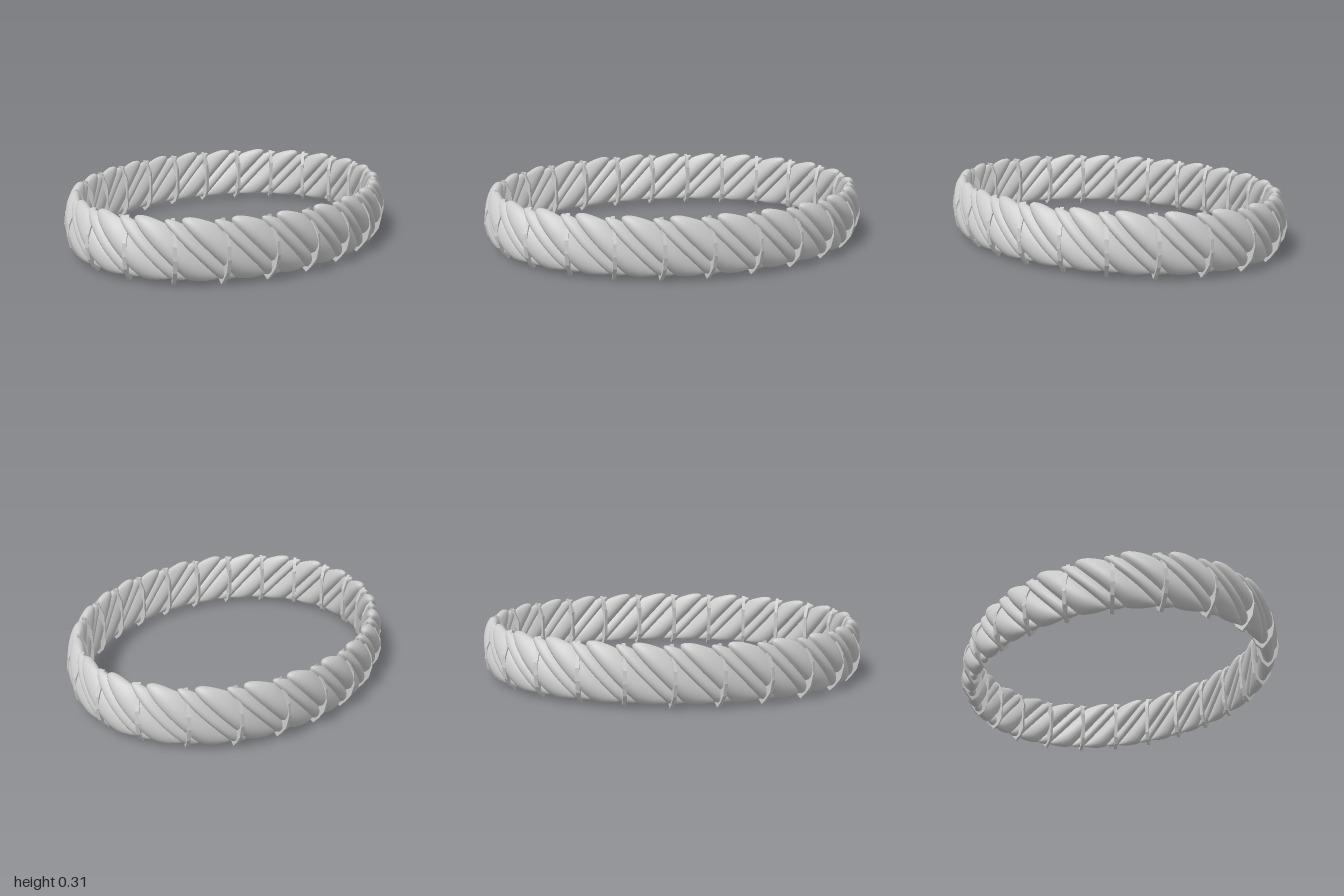
import * as THREE from 'three';

const UNITS = 24, SIDES = 36, MID = 0.16, SLANT = 0.95;
const path = new THREE.EllipseCurve(0, 0, 0.94, 0.725);
path.arcLengthDivisions = 1000;
const length = path.getLength();

// point on the band: u runs around the ring (0..1), r is outward from the path
function ringPoint(u, r, y) {
  const w = ((u % 1) + 1) % 1;
  const p = path.getPointAt(w), t = path.getTangentAt(w);
  return [p.y - t.x * r, y, p.x + t.y * r];
}

// one slanted strand wrapping the band, thick in the middle and thin at both edges
function strandGeometry(u0, u1, bulge, steps) {
  const pos = [], idx = [];
  for (let i = 0; i <= steps; i++) {
    const k = i / steps;
    const ridge = Math.max(0, Math.sin(Math.PI * k ** 0.75)) ** 0.8 * bulge;
    for (let j = 0; j < SIDES; j++) {
      const a = (j / SIDES) * Math.PI * 2;
      const c = Math.cos(a), s = Math.sin(a);
      const y = MID + s * (s > 0 ? 0.12 + 0.03 * ridge : 0.128 + 0.008 * ridge);
      const side = Math.sign(c) * Math.abs(c) ** 0.85;
      const r = side * (0.018 + 0.03 * ridge) - 0.01 * s * s;
      const u = u0 + (u1 - u0) * k - SLANT * (y - MID) / length;
      pos.push(...ringPoint(u, r, y));
    }
  }
  for (let i = 0; i < steps; i++) {
    for (let j = 0; j < SIDES; j++) {
      const j2 = (j + 1) % SIDES;
      const a = i * SIDES + j, b = a + SIDES;
      const c = (i + 1) * SIDES + j2, d = i * SIDES + j2;
      idx.push(a, b, c, a, c, d);
    }
  }
  const g = new THREE.BufferGeometry();
  g.setAttribute('position', new THREE.Float32BufferAttribute(pos, 3));
  g.setIndex(idx);
  g.computeVertexNormals();
  return g;
}

// upright plate at a joint: long on the inside, a small fin low on the outside
function plateGeometry() {
  const outline = [[-0.056, 0.07], [-0.04, 0.03], [-0.012, 0.004], [0.012, 0.03],
    [0.04, 0.07], [0.053, 0.13], [0.046, 0.19], [0.02, 0.24],
    [-0.01, 0.305], [-0.035, 0.28], [-0.056, 0.23]];
  const shape = new THREE.Shape(outline.map(([x, y]) => new THREE.Vector2(x, y)));
  return new THREE.ExtrudeGeometry(shape, { depth: 0.018, bevelEnabled: false })
    .translate(0, 0, -0.009);
}

export function createModel() {
  const model = new THREE.Group();
  model.name = 'twistedRing';
  const material = new THREE.MeshStandardMaterial({ color: 0xcccccc });
  const plateShape = plateGeometry();

  function addPart(name, geometry) {
    const mesh = new THREE.Mesh(geometry, material);
    mesh.name = name;
    model.add(mesh);
    return mesh;
  }

  for (let n = 0; n < UNITS; n++) {
    // a broad strand followed by a narrow, flatter one
    const start = (n - 0.3) / UNITS, split = (n + 0.35) / UNITS, end = (n + 0.7) / UNITS;
    addPart('broadStrand' + n, strandGeometry(start, split, 1, 12));
    addPart('narrowStrand' + n, strandGeometry(split, end, 0.65, 8));

    // joint plate, turned a little off the radius
    const plate = addPart('jointPlate' + n, plateShape);
    const [x, , z] = ringPoint(n / UNITS, 0, 0);
    const [ox, , oz] = ringPoint(n / UNITS, 1, 0);
    plate.position.set(x, 0, z);
    plate.rotation.y = Math.atan2(z - oz, ox - x) + 0.3;
  }
  return model;
}
